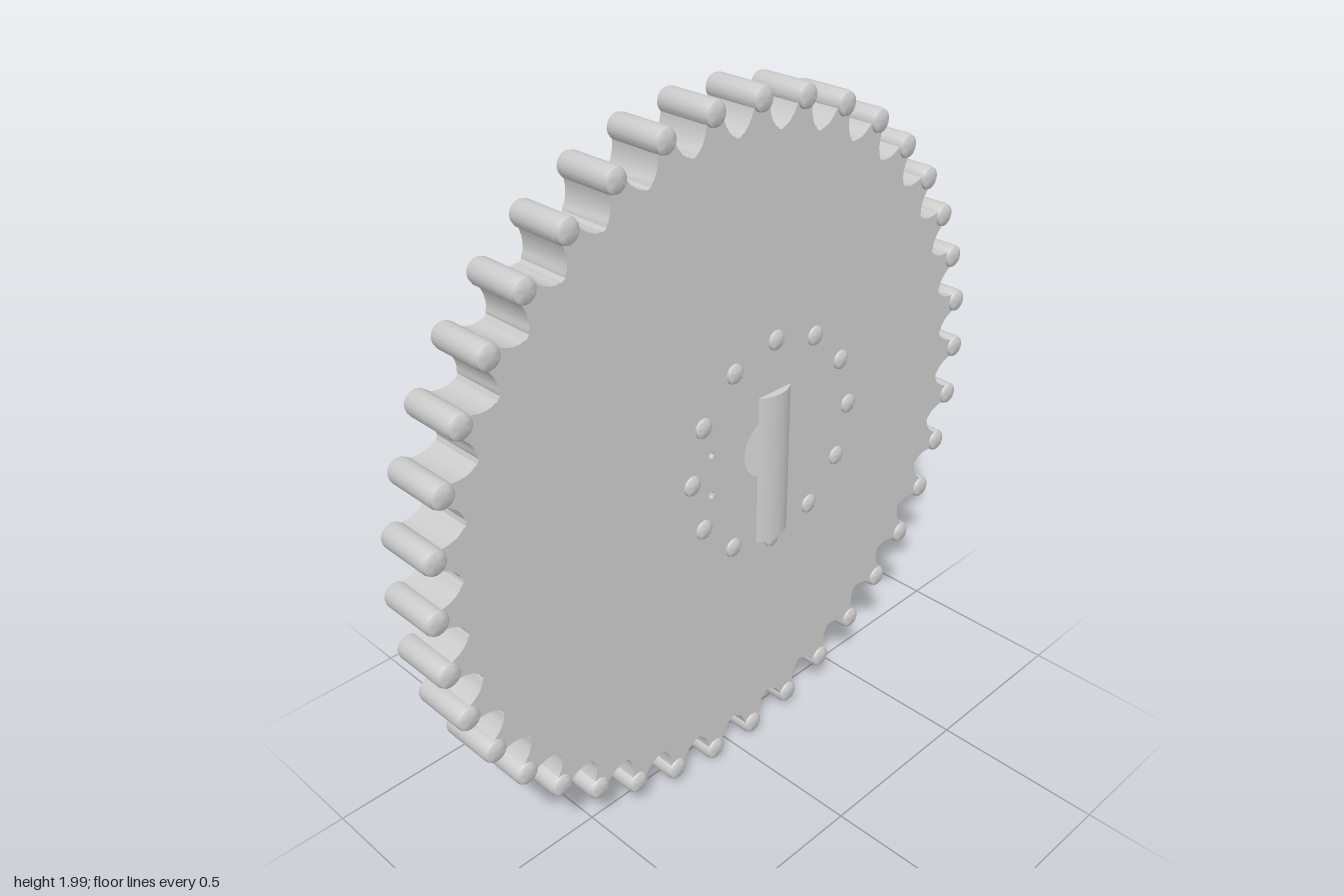
import * as THREE from 'three';
import { toCreasedNormals } from 'three/addons/utils/BufferGeometryUtils.js';

const TEETH = 38, HALF = 0.076, HUB_Z = -0.147;
const material = new THREE.MeshStandardMaterial({ color: 0xcccccc });

function part(name, geometry, parent) {
  const mesh = new THREE.Mesh(geometry, material);
  mesh.name = name;
  parent.add(mesh);
  return mesh;
}

// Round pin along x with chamfered ends
function pinGeometry(radius, half) {
  const c = 0.012;
  const profile = [[0, -half], [radius - c, -half], [radius - 0.003, -half + 0.006], [radius, -half + 0.016],
    [radius, half - 0.016], [radius - 0.003, half - 0.006], [radius - c, half], [0, half]]
    .map(([r, y]) => new THREE.Vector2(r, y));
  const g = new THREE.LatheGeometry(profile, 16);
  g.rotateZ(Math.PI / 2);
  return toCreasedNormals(g, 0.6);
}

function circlePath(x, y, r) {
  return new THREE.Path().absarc(x, y, r, 0, Math.PI * 2, true);
}

// Toothed wheel plate, drawn as (z, y) and extruded along x
function wheelGeometry() {
  const flank = [[0.026, 0.965], [0.028, 0.945], [0.034, 0.925], [0.043, 0.908], [0.054, 0.896], [0.062, 0.892], [0.067, 0.886]];
  const tooth = [...flank.map(([w, r]) => [-w, r]).reverse(), ...flank];
  const points = [];
  for (let i = 0; i < TEETH; i++) {
    const a0 = i / TEETH * Math.PI * 2;
    for (const [w, r] of tooth) {
      const a = a0 + w / r;
      points.push(new THREE.Vector2(r * Math.cos(a), r * Math.sin(a)));
    }
  }
  const shape = new THREE.Shape(points);
  // Axle hole and two small drilled holes
  shape.holes.push(circlePath(-0.123, 0, 0.091));
  for (const s of [-1, 1]) shape.holes.push(circlePath(0.092, s * 0.062, 0.01));
  const g = new THREE.ExtrudeGeometry(shape, { depth: HALF * 2, bevelEnabled: false, curveSegments: 16 });
  g.translate(0, 0, -HALF);
  g.rotateY(-Math.PI / 2);
  return toCreasedNormals(g, 0.6);
}

export function createModel() {
  const model = new THREE.Group();
  model.name = 'pinGear';
  const gear = new THREE.Group();
  gear.name = 'gear';
  gear.position.y = 1;
  model.add(gear);

  part('wheelPlate', wheelGeometry(), gear);

  // Ring of pins, one at the tip of each tooth
  const rim = new THREE.Group();
  rim.name = 'rimPins';
  gear.add(rim);
  const rimPin = pinGeometry(0.034, 0.088);
  for (let i = 0; i < TEETH; i++) {
    const a = i / TEETH * Math.PI * 2;
    part('rimPin', rimPin, rim).position.set(0, 0.965 * Math.sin(a), 0.965 * Math.cos(a));
  }

  // Off-centre circle of hub pins
  const hub = new THREE.Group();
  hub.name = 'hubPins';
  hub.position.z = HUB_Z;
  gear.add(hub);
  const hubPin = pinGeometry(0.03, 0.088);
  for (let i = 0; i < 12; i++) {
    const a = i / 12 * Math.PI * 2;
    part('hubPin', hubPin, hub).position.set(0, 0.311 * Math.sin(a), 0.311 * Math.cos(a));
  }

  // Upright rod that crosses the axle hole and bulges from both faces
  part('crossRod', new THREE.CylinderGeometry(0.099, 0.099, 0.46, 32), gear).position.set(0, -0.07, HUB_Z);

  return model;
}
